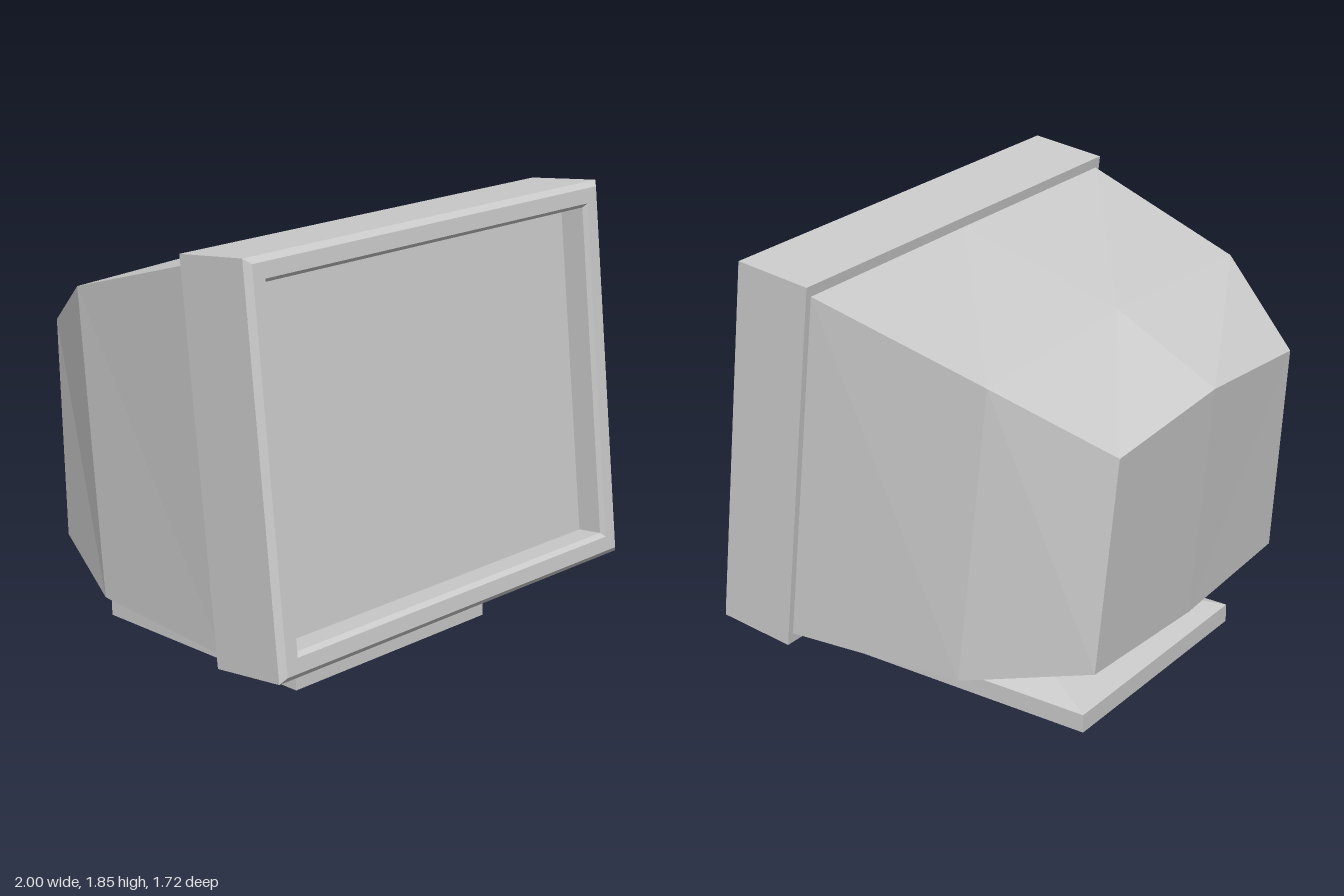
import * as THREE from 'three';

const material = new THREE.MeshStandardMaterial({ color: 0xcccccc, flatShading: true });

// Skin a series of equal-length rings of [x, y, z] points, closing both ends with fans
function loft(name, rings) {
  const pos = [];
  const tri = (a, b, c) => pos.push(...a, ...b, ...c);
  const n = rings[0].length;
  for (let r = 0; r < rings.length - 1; r++) {
    const a = rings[r], b = rings[r + 1];
    for (let i = 0; i < n; i++) {
      const j = (i + 1) % n;
      tri(a[i], a[j], b[j]);
      tri(a[i], b[j], b[i]);
    }
  }
  const first = rings[0], last = rings[rings.length - 1];
  for (let i = 1; i < n - 1; i++) {
    tri(first[0], first[i + 1], first[i]);
    tri(last[0], last[i], last[i + 1]);
  }
  const geometry = new THREE.BufferGeometry();
  geometry.setAttribute('position', new THREE.Float32BufferAttribute(pos, 3));
  geometry.computeVertexNormals();
  const mesh = new THREE.Mesh(geometry, material);
  mesh.name = name;
  return mesh;
}

// Upright rectangle facing +z
const frameRing = (w, h, z) => [[w, -h, z], [w, h, z], [-w, h, z], [-w, -h, z]];

// Level rectangle facing +y
const levelRing = (w, front, back, y) => [[w, y, front], [w, y, back], [-w, y, back], [-w, y, front]];

// Six-point housing section: each point is [z, y], with its own half width top and bottom
const housingRing = ({ wTop, wBottom, topSide, topMid, lowSide, lowMid }) => [
  [0, lowMid[1], lowMid[0]],
  [wBottom, lowSide[1], lowSide[0]],
  [wTop, topSide[1], topSide[0]],
  [0, topMid[1], topMid[0]],
  [-wTop, topSide[1], topSide[0]],
  [-wBottom, lowSide[1], lowSide[0]],
];

export function createModel() {
  const model = new THREE.Group();
  model.name = 'monitor';

  // Tilted bezel: outer bevel, front border, inner chamfer, recess walls and screen
  const bezel = loft('bezelAndScreen', [
    frameRing(1, 0.795, 0),
    frameRing(1, 0.795, 0.335),
    frameRing(0.975, 0.772, 0.357),
    frameRing(0.916, 0.71, 0.357),
    frameRing(0.905, 0.694, 0.336),
    frameRing(0.905, 0.694, 0.225),
  ]);
  bezel.position.set(0, 1.025, 0.42);
  bezel.rotation.x = -0.113;
  model.add(bezel);

  // Housing tapering to the rear, with slightly crowned top, back and underside
  model.add(loft('rearHousing', [
    housingRing({
      wTop: 0.645, wBottom: 0.68,
      topSide: [-0.84, 1.285], topMid: [-0.862, 1.345],
      lowSide: [-0.765, 0.365], lowMid: [-0.775, 0.338],
    }),
    housingRing({
      wTop: 0.88, wBottom: 0.895,
      topSide: [-0.41, 1.543], topMid: [-0.41, 1.577],
      lowSide: [-0.27, 0.277], lowMid: [-0.27, 0.256],
    }),
    housingRing({
      wTop: 0.972, wBottom: 0.972,
      topSide: [0.335, 1.77], topMid: [0.335, 1.772],
      lowSide: [0.505, 0.278], lowMid: [0.505, 0.276],
    }),
  ]));

  // Stand: slab with sloped top, and a tapered neck
  model.add(loft('standBase', [
    levelRing(0.56, 0.485, -0.635, 0),
    levelRing(0.56, 0.485, -0.635, 0.08),
    levelRing(0.43, 0.33, -0.41, 0.12),
  ]));
  model.add(loft('standNeck', [
    levelRing(0.43, 0.33, -0.41, 0.12),
    levelRing(0.385, 0.33, -0.3, 0.275),
  ]));

  return model;
}
